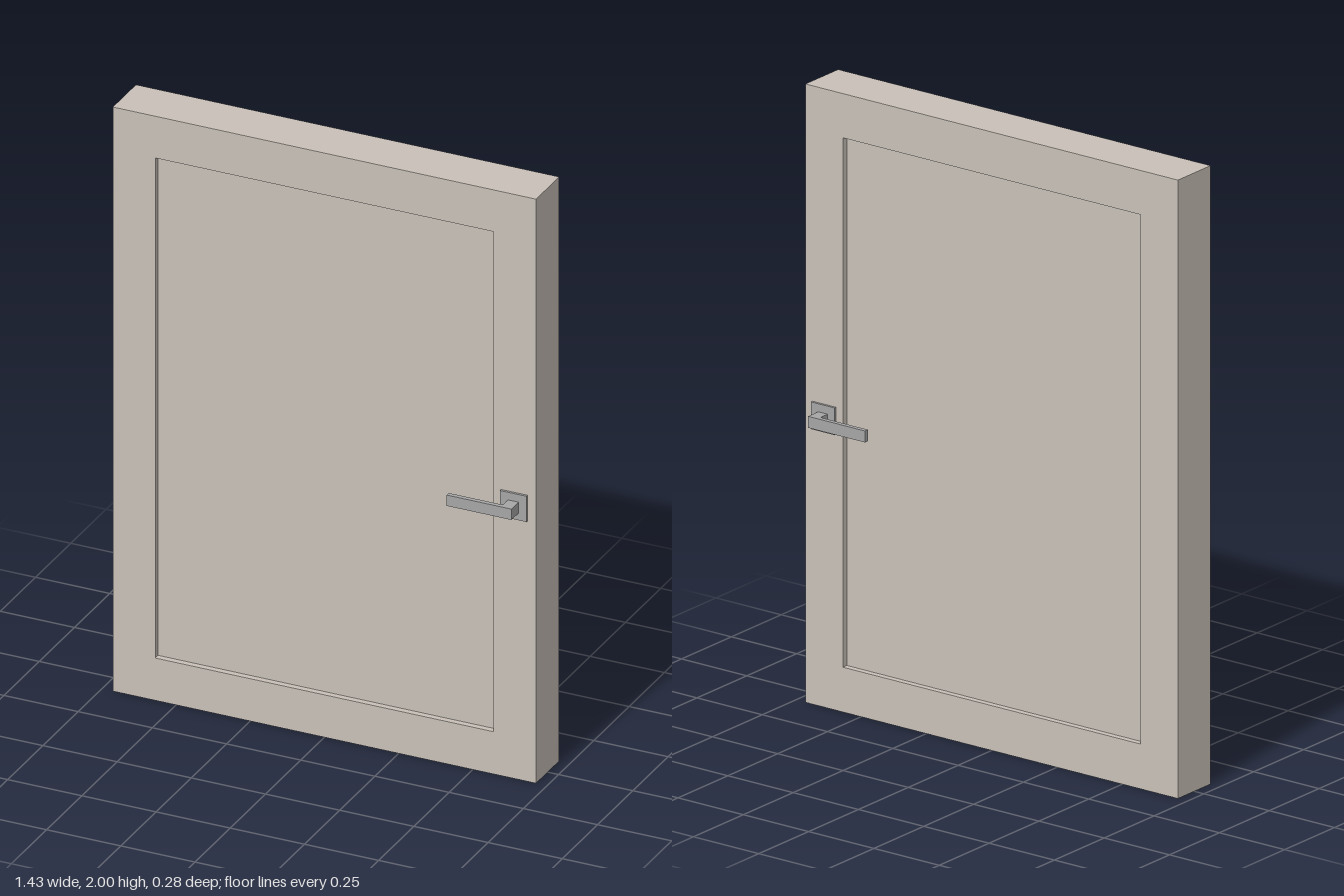
import * as THREE from 'three';

export function createModel() {
  const door = new THREE.Group();
  door.name = 'door';

  const paint = new THREE.MeshStandardMaterial({ color: 0xc9c1b8 });
  paint.name = 'warm grey paint';
  const metal = new THREE.MeshStandardMaterial({ color: 0xa6a6a6 });
  metal.name = 'grey metal';

  const halfDepth = 0.082;
  const recess = 0.02;

  // Box given by its lowest and highest corners
  const box = (name, material, min, max) => {
    const size = max.map((v, i) => v - min[i]);
    const mesh = new THREE.Mesh(new THREE.BoxGeometry(...size), material);
    mesh.position.set(...max.map((v, i) => (v + min[i]) / 2));
    mesh.name = name;
    return mesh;
  };

  const rectangle = (target, x, y0, y1) =>
    target.moveTo(-x, y0).lineTo(x, y0).lineTo(x, y1).lineTo(-x, y1).closePath();

  // Frame with the opening cut out
  const outline = rectangle(new THREE.Shape(), 0.713, 0, 2);
  outline.holes.push(rectangle(new THREE.Path(), 0.57, 0.145, 1.857));
  const frame = new THREE.Mesh(
    new THREE.ExtrudeGeometry(outline, { depth: 2 * halfDepth, bevelEnabled: false }),
    paint
  );
  frame.position.z = -halfDepth;
  frame.name = 'frame';
  door.add(frame);

  // Panel recessed on both sides
  const panelZ = halfDepth - recess;
  door.add(box('panel', paint, [-0.57, 0.145, -panelZ], [0.57, 1.857, panelZ]));

  // Lever handle, one on each side
  for (const side of [1, -1]) {
    const handle = new THREE.Group();
    handle.name = side > 0 ? 'frontHandle' : 'backHandle';
    const part = (name, x0, x1, y0, y1, z0, z1) => {
      const z = [side * z0, side * z1].sort((a, b) => a - b);
      handle.add(box(name, metal, [x0, y0, z[0]], [x1, y1, z[1]]));
    };
    part('backPlate', 0.595, 0.685, 0.892, 0.98, halfDepth - 0.002, 0.09);
    part('stem', 0.622, 0.658, 0.917, 0.954, 0.088, 0.126);
    part('lever', 0.44, 0.658, 0.917, 0.954, 0.126, 0.141);
    door.add(handle);
  }

  return door;
}
